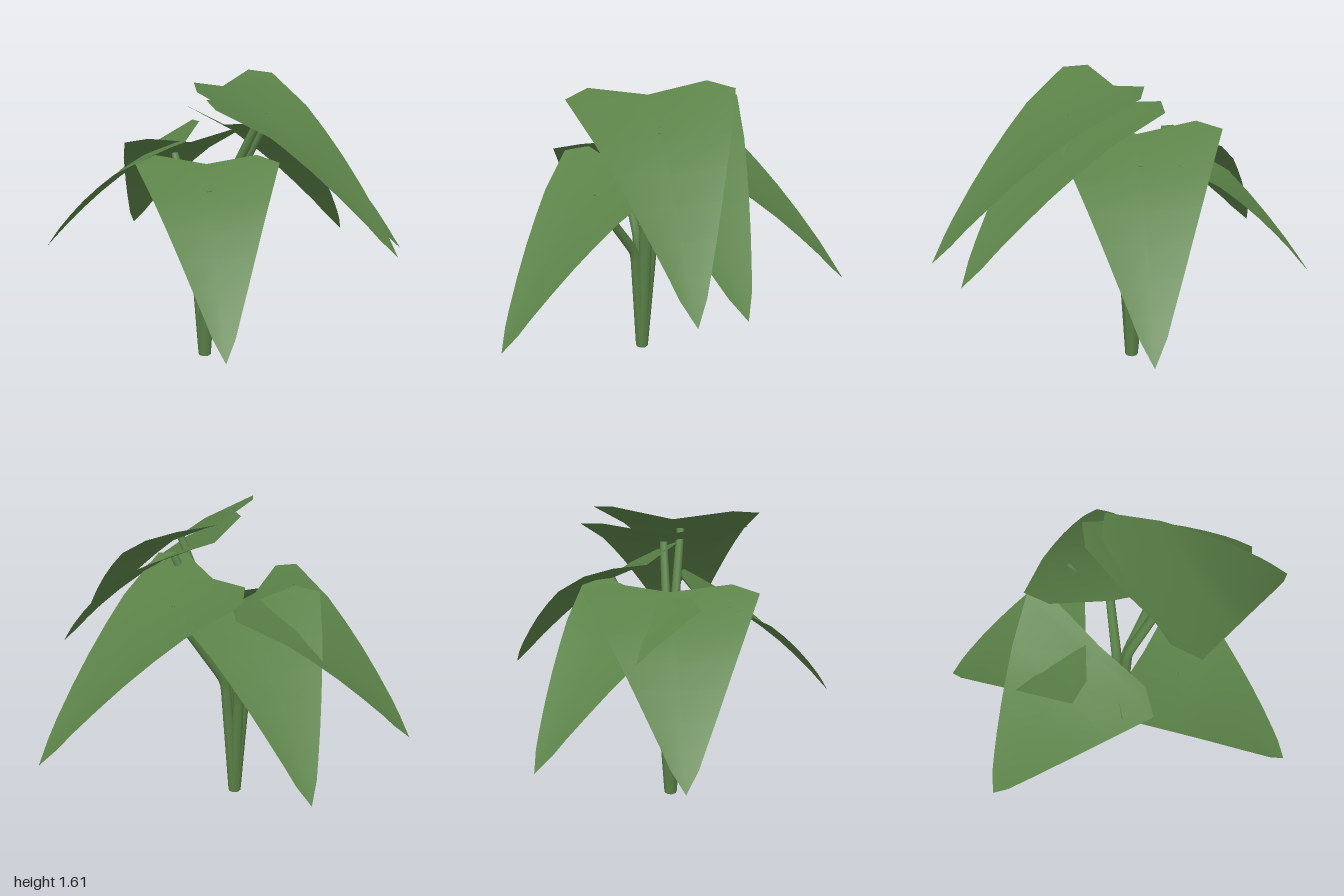
import * as THREE from 'three';

const leafGreen = new THREE.MeshStandardMaterial({ color: 0x5b8248, side: THREE.DoubleSide });
leafGreen.name = 'leaf green';

const V = (p) => new THREE.Vector3(...p);
const BASE = V([-0.06, 0, -0.11]);

// Each leaf is placed by its tip and the two widest corners of its lobes
const LEAVES = [
  { name: 'frontLeaf', tip: [0.17, 0.43, 0.89], a: [-0.38, 1.185, 0.18], b: [0.355, 1.18, 0.06] },
  { name: 'rightLeaf', tip: [-1.0, 0.585, -0.225], a: [-0.19, 1.285, -0.57], b: [-0.29, 1.24, 0.305] },
  { name: 'backLeftLeaf', tip: [0.71, 0.55, -0.9], a: [-0.215, 1.365, -0.555], b: [0.39, 1.34, 0.02] },
  { name: 'upperLeaf', tip: [0.96, 0.77, 0.3], a: [-0.03, 1.58, 0.37], b: [0.28, 1.58, -0.44] },
  { name: 'leftLeaf', tip: [0.995, 0.735, 0.035], a: [0.2, 1.515, -0.52], b: [0.055, 1.49, 0.335] },
  { name: 'backRightLeaf', tip: [-0.625, 0.555, -0.87], a: [-0.48, 1.245, -0.04], b: [0.09, 1.235, -0.53] },
];

// Rows from lobes to tip: half width, edge length, edge height, rib length
const ROWS = [
  [0.71, -0.068, -0.033, -0.037],
  [1.0, 0, 0, 0.02],
  [0.772, 0.238, 0.047, 0.238],
  [0.635, 0.38, 0.053, 0.38],
  [0.498, 0.524, 0.052, 0.524],
  [0.36, 0.67, 0.043, 0.67],
  [0.224, 0.81, 0.029, 0.81],
  [0.145, 0.893, 0.016, 0.91],
];

// Frame of a leaf: u across, v towards the tip, n out of the upper face
function leafFrame({ tip, a, b }) {
  const mid = V(a).add(V(b)).multiplyScalar(0.5);
  const u = V(a).sub(mid);
  const v = V(tip).sub(mid);
  const n = u.clone().cross(v).normalize().multiplyScalar(v.length());
  if (n.y < 0) { n.negate(); u.negate(); }
  return (x, y, z) => mid.clone().addScaledVector(u, x).addScaledVector(v, y).addScaledVector(n, z);
}

// Arrow-shaped blade, folded along the rib and bowed lengthwise
function makeLeaf(at) {
  const pts = [], index = [];
  for (const [w, len, h, ribLen] of ROWS) {
    pts.push(at(-w, len, h), at(0, ribLen, h - 0.045 * w), at(w, len, h));
  }
  pts.push(at(0, 1, 0));
  const last = ROWS.length - 1;
  for (let r = 0; r < last; r++) {
    for (let c = 0; c < 2; c++) {
      const i = r * 3 + c;
      index.push(i, i + 4, i + 1, i, i + 3, i + 4);
    }
  }
  const e = last * 3;
  index.push(e, e + 3, e + 1, e + 1, e + 3, e + 2);
  // wind the faces so that they look along the upper normal
  for (let i = 0; i < index.length; i += 3) {
    const [p, q, s] = [pts[index[i]], pts[index[i + 1]], pts[index[i + 2]]];
    const face = q.clone().sub(p).cross(s.clone().sub(p));
    if (face.dot(at(0, 0, 1).sub(at(0, 0, 0))) < 0) {
      [index[i + 1], index[i + 2]] = [index[i + 2], index[i + 1]];
    }
  }
  const geo = new THREE.BufferGeometry().setFromPoints(pts);
  geo.setIndex(index);
  geo.computeVertexNormals();
  return new THREE.Mesh(geo, leafGreen);
}

// Tapered stem that rises with the bundle, then bends out to the leaf
function makeStem(end) {
  const out = V([end.x - BASE.x, 0, end.z - BASE.z]).normalize();
  const elbow = BASE.clone().addScaledVector(out, 0.06);
  elbow.y = end.y * 0.6;
  const before = BASE.clone().lerp(elbow, 0.93);
  const after = elbow.clone().lerp(end, 0.1);
  const path = new THREE.CurvePath();
  path.add(new THREE.LineCurve3(BASE, before));
  path.add(new THREE.QuadraticBezierCurve3(before, elbow, after));
  path.add(new THREE.LineCurve3(after, end));
  const rows = 24, sides = 8;
  const geo = new THREE.TubeGeometry(path, rows, 1, sides);
  const pos = geo.attributes.position;
  for (let i = 0; i < pos.count; i++) {
    const t = Math.floor(i / (sides + 1)) / rows;
    const centre = path.getPointAt(t);
    const p = V([pos.getX(i), pos.getY(i), pos.getZ(i)]).sub(centre);
    p.multiplyScalar(0.036 - 0.015 * t).add(centre);
    pos.setXYZ(i, p.x, Math.max(p.y, 0), p.z);
  }
  return new THREE.Mesh(geo, leafGreen);
}

export function createModel() {
  const model = new THREE.Group();
  model.name = 'plant';
  for (const spec of LEAVES) {
    const at = leafFrame(spec);
    const leaf = makeLeaf(at);
    leaf.name = spec.name;
    const stem = makeStem(at(0, 0.17, -0.004));
    stem.name = spec.name + 'Stem';
    model.add(leaf, stem);
  }
  // closed foot of the stem bundle
  const foot = new THREE.Mesh(new THREE.CylinderGeometry(0.037, 0.036, 0.03, 8), leafGreen);
  foot.name = 'stemFoot';
  foot.position.set(BASE.x, 0.015, BASE.z);
  model.add(foot);
  return model;
}
